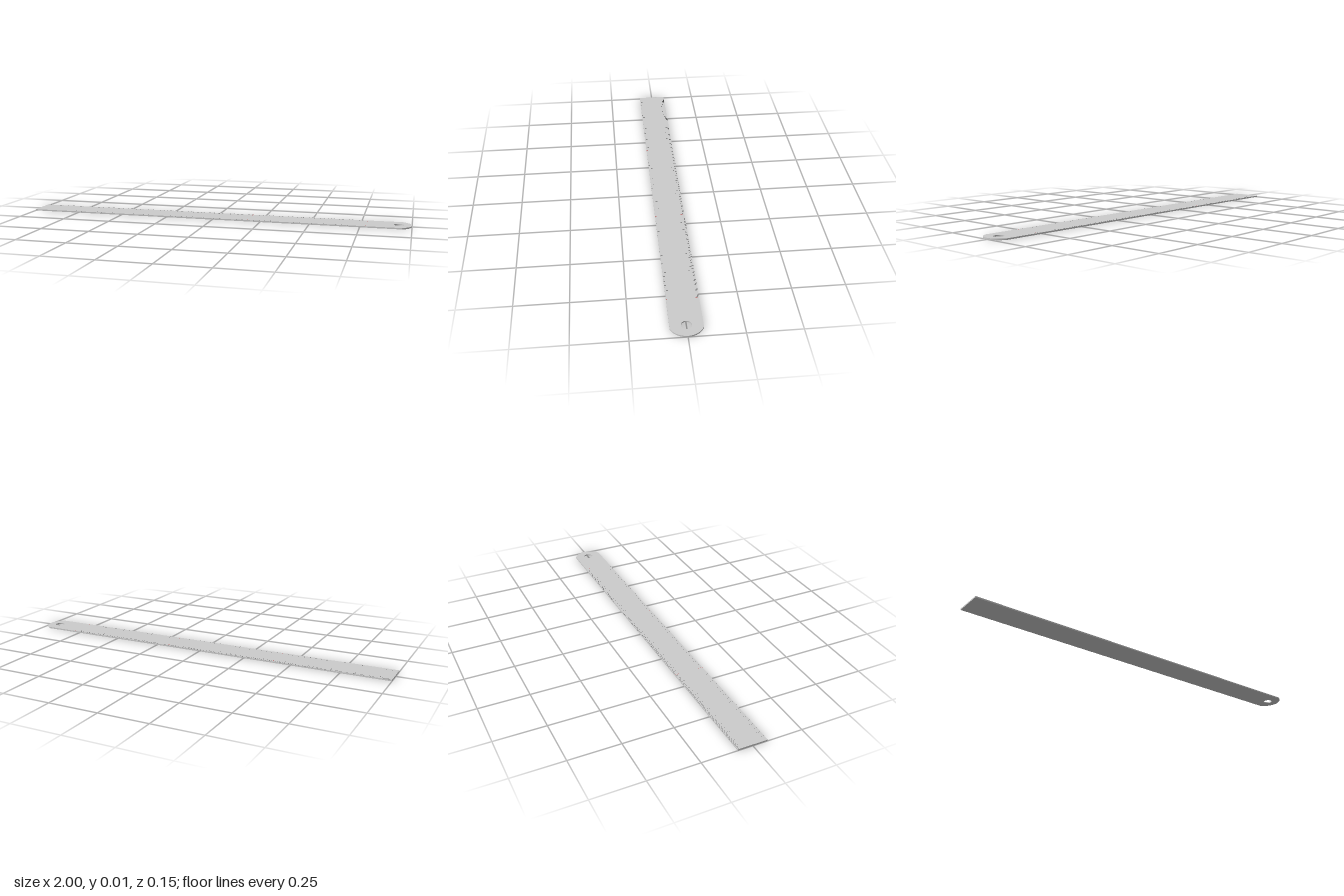
import * as THREE from 'three';
import { mergeGeometries } from 'three/addons/utils/BufferGeometryUtils.js';

const HALF_W = 0.074;     // half the blade width
const THICK = 0.007;
const SHOULDER = 0.953;   // where the rounded end starts
const CM = 0.0593;        // one centimetre on the scale

function makeBlade() {
  // circular arc through both shoulders and the tip at x = 1
  const sag = 1 - SHOULDER;
  const r = (HALF_W * HALF_W + sag * sag) / (2 * sag);
  const a = Math.asin(HALF_W / r);
  const shape = new THREE.Shape();
  shape.moveTo(-1, -HALF_W);
  shape.lineTo(SHOULDER, -HALF_W);
  shape.absarc(1 - r, 0, r, -a, a, false);
  shape.lineTo(-1, HALF_W);
  shape.closePath();

  const hole = new THREE.Path();
  hole.absarc(0.937, 0, 0.024, 0, Math.PI * 2, true);
  shape.holes.push(hole);

  const geo = new THREE.ExtrudeGeometry(shape, { depth: THICK, bevelEnabled: false, curveSegments: 32 });
  return geo.rotateX(-Math.PI / 2);
}

// thin engraved line running inward from one long edge (side = -1 back, 1 front)
function tick(x, side, length, width) {
  return new THREE.PlaneGeometry(width, length)
    .rotateX(-Math.PI / 2)
    .translate(x, THICK + 0.0002, side * (HALF_W - length / 2));
}

export function createModel() {
  const group = new THREE.Group();
  group.name = 'ruler';
  const add = (name, geo, color) => {
    const mesh = new THREE.Mesh(geo, new THREE.MeshStandardMaterial({ color }));
    mesh.name = name;
    group.add(mesh);
  };

  add('blade', makeBlade(), 0xcccccc);

  // graduations: millimetres on the back edge, half centimetres on the front
  const dark = [], red = [];
  for (let mm = 1; mm <= 300; mm++) {
    const x = -1 + mm * CM / 10;
    const list = mm % 100 === 0 ? red : dark;
    const length = mm % 10 === 0 ? 0.026 : mm % 5 === 0 ? 0.018 : 0.01;
    list.push(tick(x, -1, length, 0.0009));
    if (mm % 5 === 0) list.push(tick(x, 1, length * 0.8, 0.0009));
  }
  add('scaleMarks', mergeGeometries(dark), 0x444444);
  add('tenCentimetreMarks', mergeGeometries(red), 0xb03030);

  return group;
}
